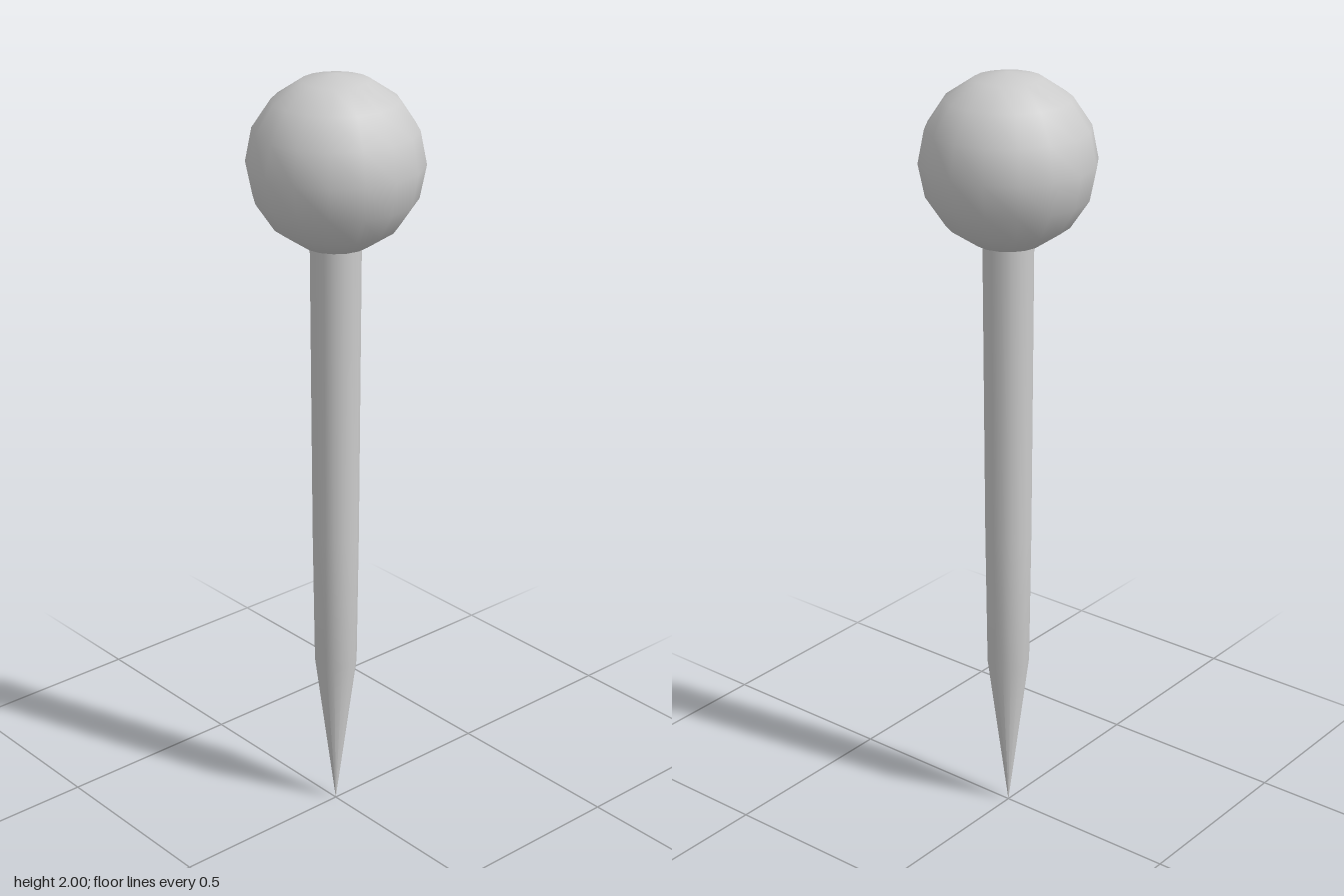
import * as THREE from 'three';

export function createModel() {
  const group = new THREE.Group();
  group.name = 'ballHeadPin';
  const material = new THREE.MeshStandardMaterial({ color: 0xcccccc });

  // Round head, coarse but smooth shaded
  const head = new THREE.Mesh(new THREE.SphereGeometry(0.2175, 16, 8), material);
  head.name = 'head';
  head.position.y = 1.7825;
  group.add(head);

  // Slightly tapering shaft ending in a sharp point, its top sunk into the head
  const profile = [[0, 0], [0.055, 0.43], [0.0595, 0.8], [0.0635, 1.6]]
    .map(([r, y]) => new THREE.Vector2(r, y));
  const shaft = new THREE.Mesh(new THREE.LatheGeometry(profile, 16), material);
  shaft.name = 'shaft';
  group.add(shaft);

  return group;
}
